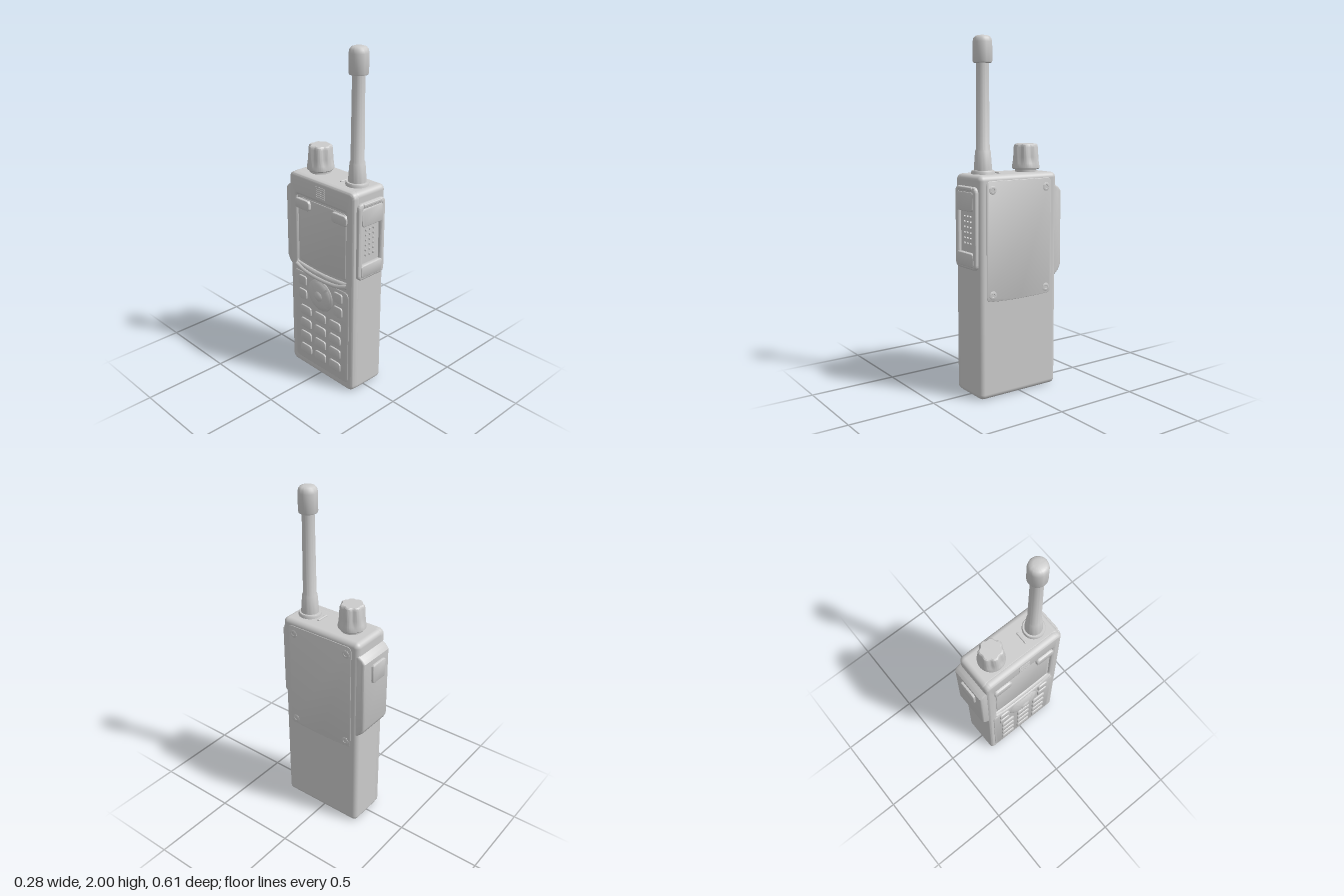
import * as THREE from 'three';
import { RoundedBoxGeometry } from 'three/addons/geometries/RoundedBoxGeometry.js';
import { toCreasedNormals } from 'three/addons/utils/BufferGeometryUtils.js';

const grey = new THREE.MeshStandardMaterial({ color: 0xcccccc });
const CX = 0.012; // middle of the body across its thin side
const LEFT = Math.PI / 2, RIGHT = -Math.PI / 2, FRONT = 0, BACK = Math.PI;

// Rounded rectangle; sag bows the bottom edge downwards
function roundRect(target, cx, cy, w, h, r, sag = 0) {
  const l = cx - w / 2, R = cx + w / 2, b = cy - h / 2, t = cy + h / 2;
  target.moveTo(l + r, b);
  target.quadraticCurveTo(cx, b - 2 * sag, R - r, b);
  target.quadraticCurveTo(R, b, R, b + r);
  target.lineTo(R, t - r);
  target.quadraticCurveTo(R, t, R - r, t);
  target.lineTo(l + r, t);
  target.quadraticCurveTo(l, t, l, t - r);
  target.lineTo(l, b + r);
  target.quadraticCurveTo(l, b, l + r, b);
  return target;
}

// Bevelled slab whose outer face lies at local z = 0
function slab(w, h, depth, r, bevel, { sag = 0, hole = null } = {}) {
  const shape = roundRect(new THREE.Shape(), 0, 0, w - 2 * bevel, h - 2 * bevel, r, sag);
  if (hole) shape.holes.push(roundRect(new THREE.Path(), ...hole));
  const geo = new THREE.ExtrudeGeometry(shape, {
    depth: depth - 2 * bevel, bevelThickness: bevel, bevelSize: bevel, bevelSegments: 4, curveSegments: 8,
  });
  geo.translate(0, 0, bevel - depth);
  return toCreasedNormals(geo, 0.6);
}

function lathe(points, segments = 40) {
  const geo = new THREE.LatheGeometry(points.map(([r, y]) => new THREE.Vector2(r, y)), segments);
  return toCreasedNormals(geo, 0.6);
}

export function createModel() {
  const model = new THREE.Group();
  const add = (name, geo, x, y, z, ry = 0, parent = model) => {
    const mesh = new THREE.Mesh(geo, grey);
    mesh.name = name;
    mesh.position.set(x, y, z);
    mesh.rotation.y = ry;
    parent.add(mesh);
    return mesh;
  };
  const group = (name) => {
    const g = new THREE.Group();
    g.name = name;
    model.add(g);
    return g;
  };

  // Housing, with the screen window cut through its face plate
  add('body', new RoundedBoxGeometry(0.233, 1.25, 0.525, 5, 0.03), 0.0185, 0.63, 0.0125);
  add('facePlate', slab(0.525, 1.25, 0.055, 0.02, 0.018,
    { hole: [0, 0.285, 0.44, 0.46, 0.03, 0.012] }), -0.112, 0.63, 0.0125, RIGHT);

  // Screen, upper tabs and speaker slats
  add('screen', slab(0.385, 0.4, 0.02, 0.02, 0.003, { sag: 0.01 }), -0.101, 0.915, 0.0125, RIGHT);
  for (const s of [-1, 1])
    add('screenTab', slab(0.12, 0.06, 0.025, 0.015, 0.006), -0.119, 1.08, 0.012 + s * 0.15, RIGHT);
  const grille = group('grille');
  for (let i = 0; i < 6; i++)
    add('slat', new THREE.BoxGeometry(0.006, 0.007, 0.07), -0.112, 1.158 + i * 0.012, 0.012, 0, grille);

  // Keypad panel with a raised lip along the screen
  add('keypadPanel', slab(0.46, 0.6, 0.02, 0.03, 0.005), -0.116, 0.35, 0.012, RIGHT);
  const lipCurve = new THREE.CatmullRomCurve3([
    new THREE.Vector3(0, 0.685, -0.2), new THREE.Vector3(0, 0.66, -0.12), new THREE.Vector3(0, 0.65, 0.012),
    new THREE.Vector3(0, 0.66, 0.144), new THREE.Vector3(0, 0.685, 0.224)]);
  add('screenLip', new THREE.TubeGeometry(lipCurve, 32, 0.014, 10), -0.108, 0, 0);

  // Number keys and function keys
  const keypad = group('keypad');
  const key = slab(0.095, 0.062, 0.018, 0.015, 0.005);
  const smallKey = slab(0.07, 0.065, 0.018, 0.012, 0.005);
  for (const col of [-1, 0, 1])
    for (let row = 0; row < 4; row++)
      add('key', key, -0.126, 0.13 + row * 0.09, 0.012 + col * 0.125, RIGHT, keypad);
  for (const s of [-1, 1])
    for (const y of [0.505, 0.595])
      add('functionKey', smallKey, -0.125, y, 0.012 + s * 0.15, RIGHT, keypad);

  // Navigation pad: a low dome carrying four raised sectors and a centre button
  const pad = group('navigationPad');
  pad.position.set(-0.113, 0.55, 0.012);
  pad.rotation.z = Math.PI / 2;
  add('padBase', new THREE.SphereGeometry(1, 40, 10, 0, Math.PI * 2, 0, Math.PI / 2), 0, 0, 0, 0, pad)
    .scale.set(0.1, 0.022, 0.105);
  for (let i = 0; i < 4; i++)
    add('padSector', new THREE.SphereGeometry(1, 12, 8, i * Math.PI / 2 + 0.87, 1.4, 0.4, 1.17), 0, 0, 0, 0, pad)
      .scale.set(0.096, 0.027, 0.1);
  add('padButton', new THREE.SphereGeometry(1, 24, 8, 0, Math.PI * 2, 0, Math.PI / 2), 0, 0, 0, 0, pad)
    .scale.set(0.042, 0.031, 0.045);

  // Cover plate on the opposite side, held by four screws
  add('coverPlate', slab(0.44, 0.665, 0.02, 0.025, 0.003, { sag: 0.006 }), 0.1375, 0.893, 0.0145, LEFT);
  for (const z of [-0.17, 0.195])
    for (const y of [0.595, 1.175]) {
      const screw = add('coverScrew', lathe([[0.024, 0], [0.024, 0.003], [0.018, 0.006], [0.012, 0.006],
        [0.01, 0.004], [0, 0.004]], 24), 0.135, y, z);
      screw.rotation.z = -Math.PI / 2;
    }

  // Connector frame on the front edge, with two buttons and contact dots
  add('frontFrame', slab(0.205, 0.455, 0.035, 0.02, 0.012, { hole: [0, 0, 0.165, 0.41, 0.015] }),
    CX, 0.965, 0.296, FRONT);
  add('upperButton', slab(0.162, 0.105, 0.03, 0.012, 0.006), CX, 1.112, 0.3, FRONT).rotation.x = -0.06;
  add('buttonRidge', new RoundedBoxGeometry(0.14, 0.018, 0.02, 3, 0.006), CX, 1.182, 0.29);
  add('lowerButton', slab(0.168, 0.075, 0.03, 0.012, 0.006), CX, 0.79, 0.3, FRONT);
  const contacts = group('contacts');
  const dot = new THREE.CylinderGeometry(0.007, 0.007, 0.012, 12).rotateX(Math.PI / 2);
  for (const x of [-0.03, 0, 0.03])
    for (let i = 0; i < 6; i++) add('contact', dot, CX + x, 0.875 + i * 0.03, 0.278, 0, contacts);

  // Rear housing with a sloped lower end, and its push button
  const rear = new THREE.Shape([[-0.12, 1.175], [0.235, 1.175], [0.262, 1.155], [0.274, 1.14], [0.274, 0.715],
    [0.262, 0.69], [0.235, 0.665], [0.2, 0.655], [0.2, 1.0], [-0.12, 1.0]].slice(1, 9)
    .map(([x, y]) => new THREE.Vector2(x, y)));
  const rearGeo = new THREE.ExtrudeGeometry(rear, {
    depth: 0.205, bevelThickness: 0.015, bevelSize: 0.015, bevelSegments: 4,
  });
  rearGeo.translate(0, 0, -0.1025);
  add('rearHousing', toCreasedNormals(rearGeo, 0.6), CX, 0, 0, LEFT);
  add('rearButton', slab(0.118, 0.115, 0.03, 0.012, 0.005), 0.004, 1.057, -0.303, BACK);

  // Indicator bar on top
  add('indicator', new RoundedBoxGeometry(0.08, 0.014, 0.014, 3, 0.006), 0.01, 1.256, 0.088);

  // Antenna: collar, tapered foot, mast and rounded cap
  const antenna = group('antenna');
  antenna.position.set(CX, 0, 0.175);
  add('collar', lathe([[0.065, 1.24], [0.065, 1.268], [0.061, 1.275], [0, 1.275]]), 0, 0, 0, 0, antenna);
  add('mast', lathe([[0.051, 1.27], [0.05, 1.29], [0.043, 1.38], [0.038, 1.39], [0.034, 1.87]]), 0, 0, 0, 0, antenna);
  add('cap', lathe([[0.034, 1.853], [0.05, 1.856], [0.053, 1.864], [0.053, 1.965], [0.049, 1.984], [0.04, 1.995],
    [0.025, 2], [0, 2]]), 0, 0, 0, 0, antenna);

  // Control knob with seven scallops that deepen upwards
  const knob = group('knob');
  knob.position.set(CX, 0, -0.118);
  add('knobStem', lathe([[0.062, 1.24], [0.062, 1.285]]), 0, 0, 0, 0, knob);
  const knobGeo = new THREE.LatheGeometry([[0, 1.27], [0.072, 1.27], [0.078, 1.276], [0.078, 1.29], [0.076, 1.305],
    [0.073, 1.34], [0.07, 1.395], [0.066, 1.408], [0.058, 1.414], [0, 1.414]]
    .map(([r, y]) => new THREE.Vector2(r, y)), 84);
  const p = knobGeo.attributes.position;
  for (let i = 0; i < p.count; i++) {
    const a = Math.atan2(p.getX(i), p.getZ(i));
    const t = THREE.MathUtils.smoothstep(p.getY(i), 1.285, 1.33);
    const k = 1 - 0.13 * t * (0.5 - 0.5 * Math.cos(7 * a)) ** 1.5;
    p.setX(i, p.getX(i) * k);
    p.setZ(i, p.getZ(i) * k);
  }
  add('knobGrip', toCreasedNormals(knobGeo, 0.6), 0, 0, 0, 0, knob);

  return model;
}
